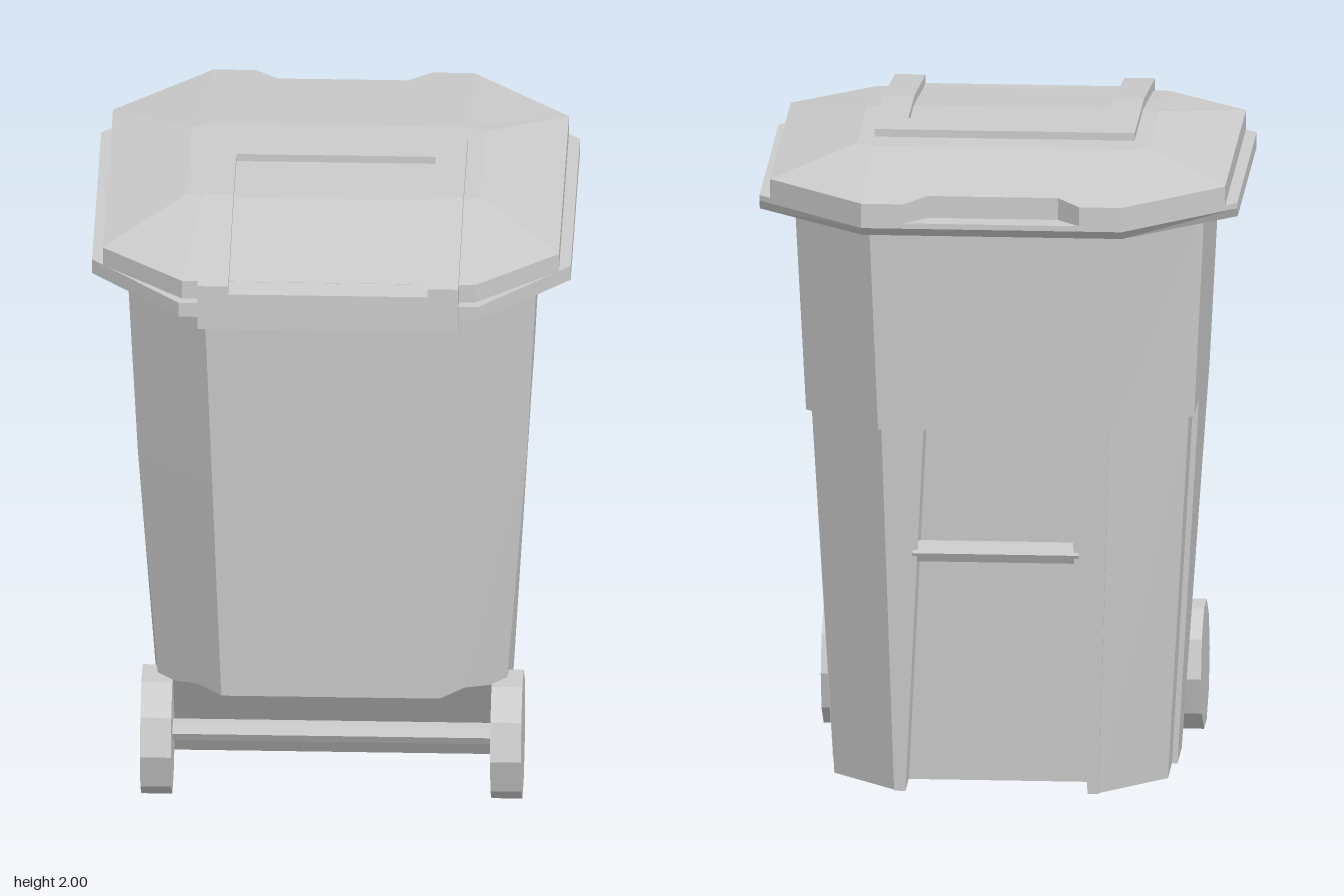
import * as THREE from 'three';

const mat = new THREE.MeshStandardMaterial({ color: 0xcccccc, flatShading: true });

// Complete a left-hand outline (front to back) with its mirror image.
const ring = half => [...half, ...half.slice().reverse().map(([x, y, z]) => [-x, y, z])];
// The same for a flat outline of [x, z] pairs at height y.
const flat = (y, half) => ring(half.map(([x, z]) => [x, y, z]));

// Triangles of a flat horizontal polygon, facing up or down.
function cap(points, up) {
  const faces = THREE.ShapeUtils.triangulateShape(points.map(p => new THREE.Vector2(p[0], -p[2])), []);
  return faces.flatMap(([a, b, c]) => (up ? [a, b, c] : [a, c, b]).map(i => points[i]));
}

// Side walls through a stack of rings, lowest first.
function walls(rings) {
  const out = [];
  for (let k = 0; k + 1 < rings.length; k++) {
    const a = rings[k], b = rings[k + 1], n = a.length;
    for (let i = 0; i < n; i++) {
      const j = (i + 1) % n;
      out.push(a[i], a[j], b[j], a[i], b[j], b[i]);
    }
  }
  return out;
}

function solid(name, triangles) {
  const g = new THREE.BufferGeometry();
  g.setAttribute('position', new THREE.Float32BufferAttribute(triangles.flat(), 3));
  g.computeVertexNormals();
  return named(name, g);
}

function named(name, geometry) {
  const m = new THREE.Mesh(geometry, mat);
  m.name = name;
  return m;
}

// Bar lying along x.
function rod(name, radius, length, sides, x, y, z) {
  const m = named(name, new THREE.CylinderGeometry(radius, radius, length, sides).rotateZ(Math.PI / 2));
  m.position.set(x, y, z);
  return m;
}

// Side profile of [z, y] pairs extruded across x.
function profile(name, points, x0, x1) {
  const s = new THREE.Shape(points.map(([z, y]) => new THREE.Vector2(-z, y)));
  const g = new THREE.ExtrudeGeometry(s, { depth: x1 - x0, bevelEnabled: false });
  g.rotateY(Math.PI / 2).translate(x0, 0, 0);
  return named(name, g);
}

export function createModel() {
  const model = new THREE.Group();
  model.name = 'wheeledBin';

  // Upper body: plain tapered octagon
  const upperLow = flat(1.16, [[0.361, 0.58], [0.597, 0.347], [0.597, -0.367], [0.36, -0.602]]);
  const upperTop = flat(1.82, [[0.385, 0.62], [0.63, 0.37], [0.63, -0.39], [0.385, -0.64]]);
  model.add(solid('upperBody', [
    ...walls([upperLow, upperTop]), ...cap(upperLow, false), ...cap(upperTop, true)]));

  // Lower body: inset rear corners, recessed back and a cutaway for the axle
  const lowerTop = flat(1.16, [
    [0.361, 0.58], [0.448, 0.494], [0.597, 0.347], [0.597, 0.06], [0.597, -0.15],
    [0.58, -0.15], [0.58, -0.36], [0.35, -0.59], [0.35, -0.601], [0.22, -0.601], [0.22, -0.45]]);
  const lowerBase = ring([
    [0.335, 0.42, 0.535], [0.41, 0.42, 0.455], [0.535, 0.37, 0.317], [0.53, 0, 0.06], [0.53, 0, -0.135],
    [0.513, 0, -0.135], [0.513, 0, -0.322], [0.315, 0, -0.522], [0.315, 0, -0.535],
    [0.28, 0, -0.535], [0.28, 0, -0.385]]);
  const underside = [];
  for (let i = 0; i < 3; i++) {
    const a = lowerBase[i], b = lowerBase[i + 1];
    const c = [-b[0], b[1], b[2]], d = [-a[0], a[1], a[2]];
    underside.push(a, c, b, a, d, c);
  }
  model.add(solid('lowerBody', [
    ...walls([lowerBase, lowerTop]), ...underside, ...cap(lowerBase.slice(3, -3), false)]));

  // Grab bar across the back recess
  model.add(rod('grabBar', 0.034, 0.51, 6, 0, 0.765, -0.55));

  // Lid rim, its back lower edge sloping in
  const rimBase = flat(1.81, [[0.46, 0.73], [0.735, 0.435], [0.735, -0.43], [0.4, -0.74]]);
  const rimMid = flat(1.84, [[0.46, 0.73], [0.735, 0.435], [0.735, -0.45], [0.4, -0.775]]);
  const rimTop = rimMid.map(([x, , z]) => [x, 1.857, z]);
  model.add(solid('lidRim', [
    ...walls([rimBase, rimMid, rimTop]), ...cap(rimBase, false), ...cap(rimTop, true)]));

  // Lid crown, notched at the back edge
  const edge = [[0.45, 0.7], [0.7, 0.475], [0.7, -0.485], [0.4, -0.775], [0.27, -0.775], [0.2, -0.7]];
  const crownLow = flat(1.85, edge);
  const crownEdge = ring(edge.map(([x, z], i) => [x, i === 5 ? 1.926 : 1.917, z]));
  const crownTop = flat(1.976, [
    [0.4, 0.235], [0.45, 0.21], [0.45, -0.25], [0.4, -0.28], [0.27, -0.28], [0.2, -0.28]]);
  model.add(solid('lidCrown', [...walls([crownLow, crownEdge, crownTop]), ...cap(crownTop, true)]));

  // Raised frame on the lid: two rails, a cross piece and the front apron
  const rail = [[-0.165, 2], [0.26, 2], [0.775, 1.937], [0.775, 1.79], [0.705, 1.79],
    [0.705, 1.89], [0.24, 1.95], [-0.165, 1.95]];
  const apron = [[0.69, 1.917], [0.775, 1.91], [0.775, 1.79], [0.705, 1.79], [0.69, 1.82]];
  model.add(profile('lidRailLeft', rail, 0.306, 0.4));
  model.add(profile('lidRailRight', rail, -0.4, -0.306));
  model.add(profile('lidCrossPiece', [[-0.165, 2], [-0.02, 2], [-0.02, 1.95], [-0.165, 1.95]], -0.306, 0.306));
  model.add(profile('lidApron', apron, -0.306, 0.306));

  // Axle and wheels
  model.add(rod('axle', 0.033, 0.99, 6, 0, 0.2, 0.325));
  for (const s of [1, -1]) {
    model.add(rod(s > 0 ? 'wheelLeft' : 'wheelRight', 0.2, 0.095, 10, s * 0.5375, 0.2, 0.325));
  }
  return model;
}
